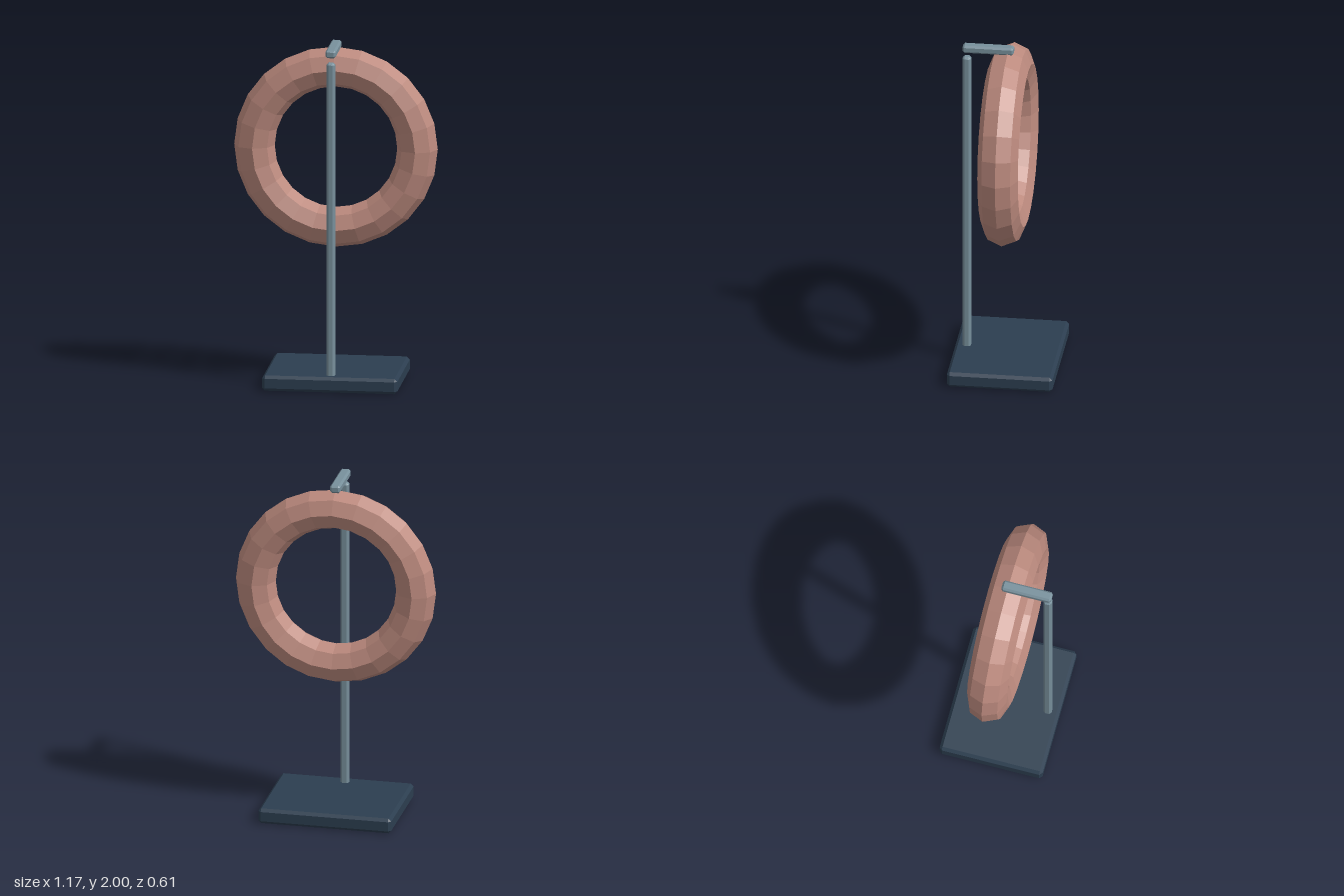
import * as THREE from 'three';
import { ConvexGeometry } from 'three/addons/geometries/ConvexGeometry.js';

const paint = (color) => new THREE.MeshStandardMaterial({ color, flatShading: true });

// Box with every edge cut by a flat chamfer c
function chamferBox(w, h, d, c) {
  const points = [];
  for (const sx of [-1, 1]) for (const sy of [-1, 1]) for (const sz of [-1, 1]) {
    const x = w / 2, y = h / 2, z = d / 2;
    points.push(
      new THREE.Vector3(sx * x, sy * (y - c), sz * (z - c)),
      new THREE.Vector3(sx * (x - c), sy * y, sz * (z - c)),
      new THREE.Vector3(sx * (x - c), sy * (y - c), sz * z)
    );
  }
  return new ConvexGeometry(points);
}

export function createModel() {
  const model = new THREE.Group();
  model.name = 'ringOnStand';

  const navy = paint(0x2c3e50);
  const steel = paint(0x78909c);
  const clay = paint(0xbc8a7e);

  const add = (name, geometry, material, x, y, z) => {
    const mesh = new THREE.Mesh(geometry, material);
    mesh.name = name;
    mesh.position.set(x, y, z);
    model.add(mesh);
  };

  // Flat base plate
  add('base', chamferBox(0.78, 0.09, 0.61, 0.017), navy, 0, 0.045, 0);

  // Upright post near the front edge, sunk slightly into the base
  add('post', chamferBox(0.048, 1.855, 0.048, 0.012), steel, 0, 0.9975, 0.237);

  // Short arm reaching back over the ring
  add('arm', chamferBox(0.06, 0.046, 0.294, 0.011), steel, 0, 1.977, 0.113);

  // Faceted hanging ring
  add('ring', new THREE.TorusGeometry(0.47, 0.117, 8, 24), clay, 0, 1.378, 0);

  return model;
}
